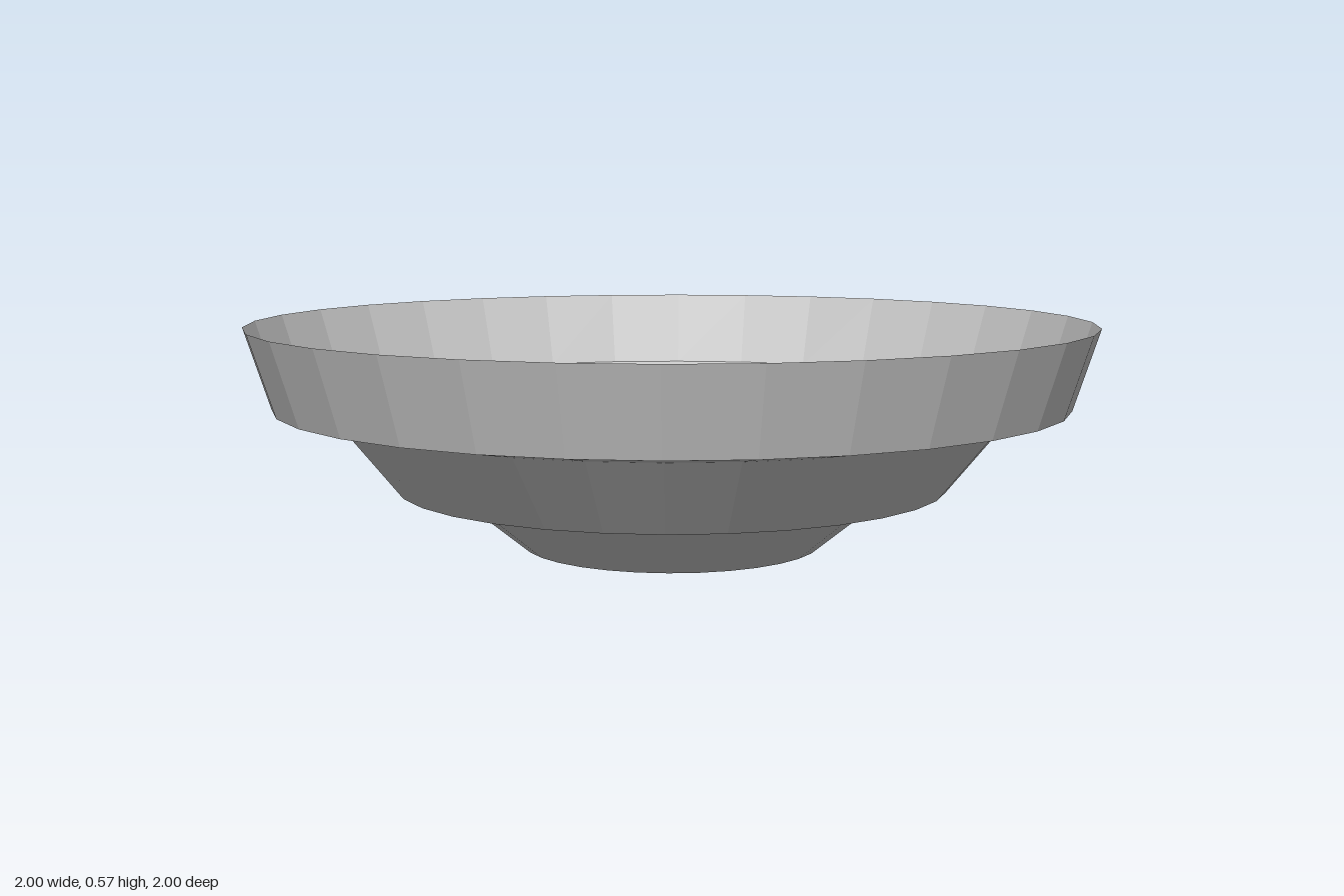
import * as THREE from 'three';

export function createModel() {
  const group = new THREE.Group();
  group.name = 'steppedBowl';

  // Thin stepped wall, from the shallow base point out to the rim: [radius, height]
  const profile = [
    [0, 0], [0.187, 0.008], [0.358, 0.032],
    [0.515, 0.16], [0.658, 0.179],
    [0.797, 0.351], [0.94, 0.377], [1, 0.567],
  ].map(([r, y]) => new THREE.Vector2(r, y));

  const material = new THREE.MeshStandardMaterial({
    color: 0xcccccc, flatShading: true, side: THREE.DoubleSide,
  });

  const bowl = new THREE.Mesh(new THREE.LatheGeometry(profile, 32), material);
  bowl.name = 'bowl';
  group.add(bowl);
  return group;
}
